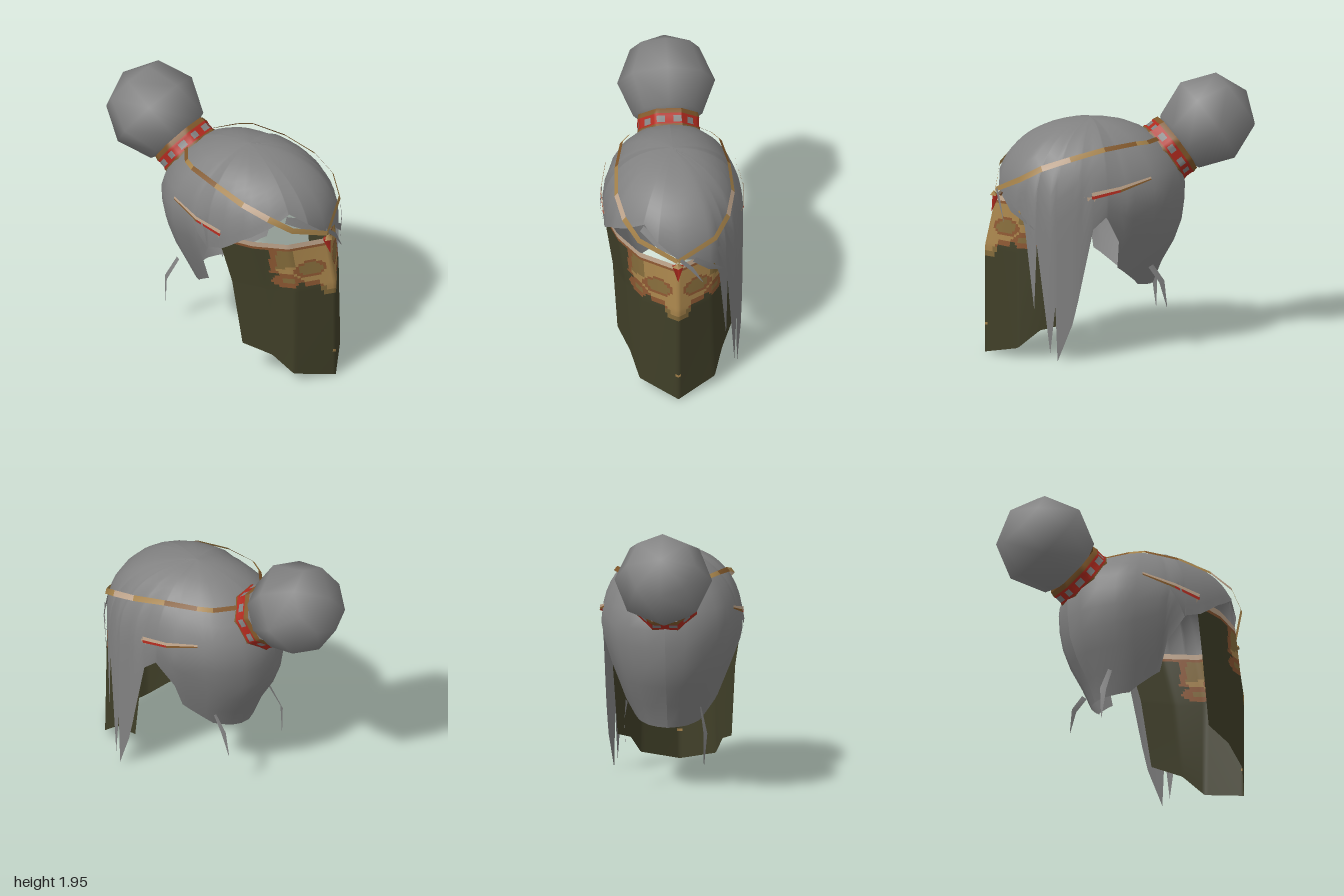
import * as THREE from 'three';

const mat = (name, color) => {
  const m = new THREE.MeshStandardMaterial({ color, side: THREE.DoubleSide });
  m.name = name;
  return m;
};

// piecewise linear lookup in [[key, value], ...]
function lookup(table, k) {
  if (k <= table[0][0]) return table[0][1];
  for (let i = 1; i < table.length; i++) {
    const [k0, v0] = table[i - 1], [k1, v1] = table[i];
    if (k <= k1) return v0 + (v1 - v0) * (k - k0) / (k1 - k0);
  }
  return table[table.length - 1][1];
}

// sheet of nu x nv cells; pick(i, j, centre) returns the material of a cell
function sheet(name, nu, nv, point, pick) {
  const pos = [], pts = [], byMat = new Map();
  for (let j = 0; j <= nv; j++) for (let i = 0; i <= nu; i++) {
    const p = point(i, j);
    pts.push(p);
    pos.push(p.x, p.y, p.z);
  }
  for (let j = 0; j < nv; j++) for (let i = 0; i < nu; i++) {
    const a = j * (nu + 1) + i, b = a + 1, d = a + nu + 1, c = d + 1;
    const m = pick(i, j, pts[a].clone().add(pts[c]).multiplyScalar(0.5));
    if (!byMat.has(m)) byMat.set(m, []);
    byMat.get(m).push(a, b, c, a, c, d);
  }
  const g = new THREE.BufferGeometry(), index = [], mats = [...byMat.keys()];
  mats.forEach((m, k) => {
    g.addGroup(index.length, byMat.get(m).length, k);
    for (const n of byMat.get(m)) index.push(n);
  });
  g.setAttribute('position', new THREE.Float32BufferAttribute(pos, 3));
  g.setIndex(index);
  g.computeVertexNormals();
  const mesh = new THREE.Mesh(g, mats.length > 1 ? mats : mats[0]);
  mesh.name = name;
  return mesh;
}

// flat strip lying on the head along a path of [x, y, z, width]
function ribbon(name, path, pick) {
  const p = path.map(q => new THREE.Vector3(q[0], q[1], q[2]));
  const across = p.map((q, i) => {
    const t = p[Math.min(i + 1, p.length - 1)].clone().sub(p[Math.max(i - 1, 0)]);
    const n = new THREE.Vector3(q.x / 0.25, (q.y - 1.15) / 0.29, (q.z - 0.215) / 0.47);
    return n.cross(t).normalize().multiplyScalar(path[i][3] / 2);
  });
  return sheet(name, p.length - 1, 1,
    (i, j) => p[i].clone().addScaledVector(across[i], j ? 1 : -1), pick);
}

// lower edge of the hair: [degrees from the front, height]
const BACK = [[89, 1.06], [97, 0.86], [100, 0.65], [127, 0.49], [150, 0.47], [180, 0.46]];
const EDGE = [
  ...BACK.map(([a, y]) => [-a, y]).reverse(),
  [-80, 1.1], [-66, 1.22], [-45, 1.34], [-29, 1.42], [-14, 1.32], [0, 1.2],
  [15, 1.18], [26, 1.07], [30, 1.1], [35, 0.98], [43, 0.38], [45, 0.86], [55, 0.07],
  [58.5, 0.41], [60, 0.01], [69.5, 0.28], [73, 0.45], [82, 0.98], ...BACK,
];
// narrowing of the back hair below the ears, in depth and in width
const TAPER_Z = [[0.46, 0.66], [0.6, 0.73], [0.86, 0.95], [1.15, 1]];
const TAPER_X = [[0.46, 0.5], [0.6, 0.64], [0.86, 0.83], [1.0, 0.92], [1.15, 1]];

function hairPoint(deg, y) {
  let rx, rz;
  if (y > 1.15) {
    const n = Math.abs(deg) > 90 ? 2 : 2.2;
    rx = rz = Math.pow(Math.max(0, 1 - Math.pow((y - 1.15) / 0.54, n)), 1 / n);
  } else {
    const w = THREE.MathUtils.smoothstep(Math.abs(deg), 80, 100);
    rx = 1 - w * (1 - lookup(TAPER_X, y));
    rz = 1 - w * (1 - lookup(TAPER_Z, y));
  }
  const a = THREE.MathUtils.degToRad(deg), s = Math.sin(a), c = Math.cos(a);
  const full = t => Math.sign(t) * Math.pow(Math.abs(t), 0.91);
  return new THREE.Vector3(0.505 * rx * full(s), y, 0.215 + 0.685 * rz * full(c));
}

// half outlines of the veil from the centre outwards: [x, y, z]
const VEIL = [
  [[0, 0.01, 1], [0.27, 0.085, 0.83], [0.33, 0.22, 0.68], [0.41, 0.28, 0.47]],
  [[0, 0.8, 1], [0.25, 0.8, 0.83], [0.36, 0.8, 0.63], [0.44, 0.8, 0.4]],
  [[0, 1.16, 0.92], [0.27, 1.18, 0.77], [0.42, 1.2, 0.56], [0.505, 1.22, 0.31]],
];
function veilPoint(u, v) {
  const a = Math.abs(u) * 3;
  const row = VEIL.map(r => [0, 1, 2].map(k => lookup(r.map((q, i) => [i, q[k]]), a)));
  const [x, y, z] = [0, 1, 2].map(k => lookup([[0, row[0][k]], [0.67, row[1][k]], [1, row[2][k]]], v));
  return new THREE.Vector3(x * Math.sign(u), y, z);
}

export function createModel() {
  const M = {
    hair: mat('hair grey', 0x828282),
    veil: mat('olive cloth', 0x403f28),
    tan: mat('gold tan', 0xa5824a),
    khaki: mat('khaki', 0x836a3a),
    rust: mat('rust brown', 0x8a5631),
    brown: mat('dark gold', 0x80572a),
    cream: mat('cream', 0xbfa58c),
    red: mat('red', 0xb02a1e),
  };
  const model = new THREE.Group();
  const add = o => (model.add(o), o);

  // hollow hair cap with the long fringe on one side
  const columns = new Set(EDGE.map(e => e[0]));
  for (let a = -165; a < 180; a += 15) columns.add(a);
  const degs = [...columns].sort((a, b) => a - b);
  add(sheet('hairCap', degs.length - 1, 12, (i, j) => {
    const e = lookup(EDGE, degs[i]);
    return hairPoint(degs[i], e + (1.69 - e) * Math.sin(j / 12 * Math.PI / 2));
  }, () => M.hair));

  // loose locks at the face, side and nape
  [
    [[-0.25, 1.37, 0.74, 0.05], [-0.12, 1.3, 0.84, 0.08], [0.06, 1.18, 0.91, 0.005]],
    [[0.02, 1.21, 0.92, 0.03], [0.1, 1.13, 0.92, 0.03], [0.18, 1.0, 0.91, 0.004]],
    [[0.12, 1.2, 0.9, 0.04], [0.24, 1.1, 0.86, 0.05], [0.37, 0.97, 0.73, 0.004]],
    [[0.3, 1.24, 0.81, 0.03], [0.335, 1.1, 0.79, 0.03], [0.37, 0.9, 0.75, 0.004]],
    [[-0.505, 1.28, 0.12, 0.1], [-0.52, 1.17, 0.18, 0.07], [-0.5, 1.05, 0.22, 0.005]],
    [[0.3, 0.64, -0.15, 0.04], [0.31, 0.52, -0.23, 0.04], [0.3, 0.33, -0.27, 0.004]],
    [[-0.24, 0.62, -0.25, 0.03], [-0.28, 0.44, -0.33, 0.045], [-0.27, 0.21, -0.34, 0.004]],
  ].forEach(path => add(ribbon('looseLock', path, () => M.hair)));

  // bun and patterned collar, tilted backwards
  const tilt = -0.963;
  const bun = add(new THREE.Mesh(new THREE.SphereGeometry(0.352, 8, 4), M.hair));
  bun.name = 'bun';
  bun.position.set(0, 1.617, -0.65);
  bun.rotation.x = tilt;

  const heights = [-0.09, -0.042, -0.027, 0.02, 0.038, 0.075];
  const radii = [0.238, 0.242, 0.235, 0.235, 0.24, 0.232];
  const bands = [M.brown, M.red, null, M.red, M.brown];
  const collar = add(sheet('bunCollar', 48, 5, (i, j) => {
    const side = Math.floor(i / 6), f = (i % 6) / 6;
    const corner = k => new THREE.Vector3(
      Math.sin((k + 0.5) * Math.PI / 4), 0, Math.cos((k + 0.5) * Math.PI / 4));
    const p = corner(side).lerp(corner(side + 1), f).multiplyScalar(radii[j]);
    p.y = heights[j];
    return p;
  }, (i, j) => bands[j] || (Math.floor(i / 2) % 2 ? M.hair : M.red)));
  collar.position.set(0, 1.425, -0.365);
  collar.rotation.x = tilt;

  // head chain and ear straps on both sides
  const chainMats = [M.tan, M.tan, M.cream, M.tan, M.brown, M.tan, M.brown];
  for (const s of [1, -1]) {
    add(ribbon('headChain', [
      [0, 1.2, 0.925, 0.035], [0.275, 1.325, 0.82, 0.042], [0.375, 1.42, 0.68, 0.045],
      [0.42, 1.485, 0.48, 0.042], [0.405, 1.54, 0.22, 0.038], [0.355, 1.56, -0.03, 0.034],
      [0.295, 1.55, -0.13, 0.034], [0.16, 1.54, -0.24, 0.034],
    ].map(([x, ...q]) => [s * x, ...q]), i => chainMats[i]));
    const strap = (name, dy, w, front, rear) => add(ribbon(name, [
      [0.505, 1.225 + dy, 0.34, w], [0.513, 1.265 + dy * 0.8, 0.13, w * 0.8], [0.465, 1.325 + dy * 0.4, -0.11, w * 0.5],
    ].map(([x, ...q]) => [s * x, ...q]), i => (i ? rear : front)));
    strap('earStrapUpper', 0.012, 0.028, M.cream, M.cream);
    strap('earStrapLower', -0.013, 0.024, M.red, M.brown);
  }

  // face veil with a trimmed top and a mirrored ornament
  const near = (a, y, cx, cy, rx, ry) => ((a - cx) / rx) ** 2 + ((y - cy) / ry) ** 2;
  const inside = (a, y) => (y > 0.93 && a < 0.345) || (y > 0.82 && a < 0.19)
    || (y > 0.72 && a < 0.075) || (y > 0.76 && a < 0.1)
    || near(a, y, 0.15, 0.95, 0.16, 0.1) < 1 || near(a, y, 0.275, 0.872, 0.06, 0.055) < 1;
  const veilColour = (i, j, c) => {
    const a = Math.abs(c.x), y = c.y;
    if (j >= 58) return M.cream;
    if (j === 57) return M.rust;
    if (a < 0.02 && Math.abs(y - 0.215) < 0.014) return M.tan;
    if (!inside(a, y)) return M.veil;
    if (y < 0.8) return a < 0.05 && y > 0.75 ? M.tan : M.khaki;
    if (near(a, y, 0.275, 0.872, 0.025, 0.02) < 1) return M.khaki;
    if (near(a, y, 0.275, 0.872, 0.06, 0.055) < 1) return M.rust;
    if (!inside(a + 0.025, y) || !inside(a, y - 0.025)) return M.rust;
    const ring = near(a, y, 0.14, 0.95, 0.105, 0.065);
    if (ring < 0.55) return M.khaki;
    if (ring < 1) return M.rust;
    if (a > 0.24 && y > 0.98) return M.khaki;
    return M.tan;
  };
  add(sheet('faceVeil', 80, 60, (i, j) => veilPoint(i / 40 - 1, j / 60), veilColour));

  // pendant hanging at the brow, its front edge upright
  const cone = (name, h, y, m, turn) => {
    const c = add(new THREE.Mesh(new THREE.ConeGeometry(0.042, h, 4), m));
    c.name = name;
    c.position.set(0, y, 0.935);
    c.scale.z = 0.7;
    c.rotation.x = turn;
  };
  cone('pendantDrop', 0.13, 1.1, M.red, Math.PI - 0.28);
  cone('pendantCap', 0.035, 1.178, M.tan, 0);

  return model;
}
